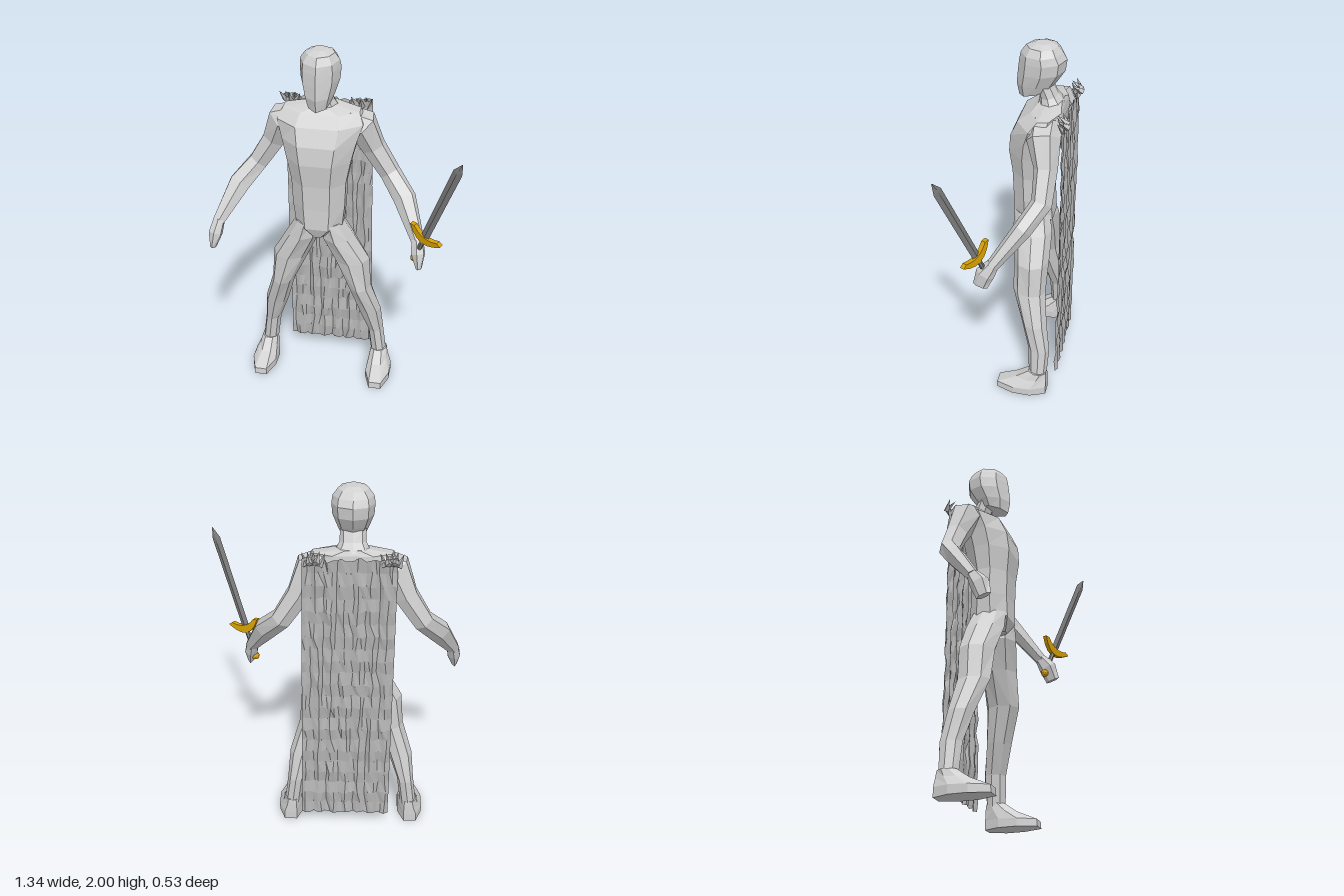
import * as THREE from 'three';

const V = (x, y, z) => new THREE.Vector3(x, y, z);
const CX = -0.09; // body centre line

const mats = {
  body: new THREE.MeshStandardMaterial({ color: 0xd0d0d0 }),
  cape: new THREE.MeshStandardMaterial({ color: 0xb4b4b4, side: THREE.DoubleSide }),
  steel: new THREE.MeshStandardMaterial({ color: 0x7c7c7c }),
  gold: new THREE.MeshStandardMaterial({ color: 0xd8a000 }),
};

// Faceted mesh with one normal per face
function facet(name, geo, mat) {
  const g = geo.index ? geo.toNonIndexed() : geo;
  g.computeVertexNormals();
  const m = new THREE.Mesh(g, mat);
  m.name = name;
  return m;
}

// Closed skin over rings of points, always wound outwards
function loft(rings) {
  const n = rings[0].length, tris = [];
  for (let i = 0; i < rings.length - 1; i++) {
    for (let j = 0; j < n; j++) {
      const k = (j + 1) % n, a = rings[i], b = rings[i + 1];
      tris.push([a[j], a[k], b[k]], [a[j], b[k], b[j]]);
    }
  }
  const cap = (ring, flip) => {
    const c = ring.reduce((s, p) => s.add(p), V(0, 0, 0)).divideScalar(n);
    ring.forEach((p, j) => {
      const q = ring[(j + 1) % n];
      tris.push(flip ? [c, q, p] : [c, p, q]);
    });
  };
  cap(rings[0], true);
  cap(rings[rings.length - 1], false);
  const vol = tris.reduce((s, [a, b, c]) => s + a.dot(V(0, 0, 0).crossVectors(b, c)), 0);
  const pts = tris.flatMap(([a, b, c]) => (vol < 0 ? [a, c, b] : [a, b, c]));
  return new THREE.BufferGeometry().setFromPoints(pts);
}

// Eight-sided cross-sections: ridged or flat at the front
const half = {
  ridge: [[0, 1], [0.72, 0.62], [1, -0.1], [0.7, -0.75], [0, -1]],
  flat: [[0.5, 1], [1, 0.3], [1, -0.4], [0.5, -1]],
};
function section(kind) {
  const h = half[kind];
  const mirror = h.filter(p => p[0] > 0).reverse().map(([x, z]) => [-x, z]);
  return [...h, ...mirror];
}

// Level ring: x range, front and back z, with optional slope from front to back
function ring(kind, x0, x1, yF, yB, zF, zB) {
  return section(kind).map(([a, b]) => V(
    (x0 + x1) / 2 + a * (x1 - x0) / 2,
    (yF + yB) / 2 + b * (yF - yB) / 2,
    (zF + zB) / 2 + b * (zF - zB) / 2));
}

// Skin along a path of [x, y, z, radius across, radius in depth]
function limb(path) {
  const c = path.map(p => V(p[0], p[1], p[2]));
  return loft(path.map((p, i) => {
    const t = c[Math.min(i + 1, c.length - 1)].clone().sub(c[Math.max(i - 1, 0)]).normalize();
    const u = V(0, 0, 0).crossVectors(t, V(0, 0, 1)).normalize();
    const v = V(0, 0, 0).crossVectors(t, u);
    return [...Array(6)].map((_, j) => {
      const a = (j + 0.5) * Math.PI / 3;
      return c[i].clone().addScaledVector(u, 1.1 * p[3] * Math.cos(a)).addScaledVector(v, 1.1 * p[4] * Math.sin(a));
    });
  }));
}

function buildBody(g) {
  // [half width, y front, y back, z front, z back]
  const stack = (kind, rows) => loft(rows.map(([w, yF, yB, zF, zB]) => ring(kind, CX - w, CX + w, yF, yB, zF, zB)));
  g.add(facet('torso', stack('flat', [
    [0.03, 0.965, 0.95, 0.02, -0.13], [0.125, 1.03, 1.0, 0.048, -0.165], [0.14, 1.15, 1.15, 0.045, -0.155],
    [0.145, 1.29, 1.29, 0.05, -0.155], [0.17, 1.42, 1.42, 0.065, -0.18], [0.195, 1.52, 1.52, 0.055, -0.2],
    [0.225, 1.61, 1.62, 0.015, -0.21], [0.2, 1.66, 1.675, -0.05, -0.205], [0.075, 1.685, 1.7, -0.075, -0.195],
  ]), mats.body));
  g.add(facet('neck', stack('ridge', [
    [0.09, 1.66, 1.69, -0.07, -0.205], [0.065, 1.71, 1.73, -0.075, -0.17], [0.065, 1.79, 1.79, -0.05, -0.14],
  ]), mats.body));
  g.add(facet('head', stack('ridge', [
    [0.062, 1.705, 1.76, 0.03, -0.135], [0.082, 1.77, 1.8, 0.043, -0.165], [0.102, 1.84, 1.86, 0.037, -0.203],
    [0.106, 1.9, 1.92, 0.03, -0.21], [0.1, 1.94, 1.955, 0.022, -0.19], [0.075, 1.98, 1.985, -0.005, -0.165],
    [0.035, 1.998, 2.0, -0.05, -0.13],
  ]), mats.body));

  for (const s of [1, -1]) {
    const side = s > 0 ? 'left' : 'right';
    // [inner, outer, y, z front, z back], measured from the centre line
    const leg = [
      [0.01, 0.125, 1.05, 0.042, -0.15], [0.005, 0.185, 0.95, 0.042, -0.172], [0.07, 0.27, 0.8, 0.02, -0.172],
      [0.155, 0.283, 0.62, 0.015, -0.165], [0.205, 0.338, 0.44, -0.045, -0.185], [0.262, 0.352, 0.28, -0.09, -0.21],
      [0.285, 0.375, 0.1, -0.1, -0.2],
    ];
    g.add(facet(side + 'Leg', loft(leg.map(([a, b, y, zF, zB]) =>
      ring('ridge', CX + s * a, CX + s * b, y, y, zF, zB))), mats.body));
    const foot = [
      [0.272, 0.41, 0, 0, 0.08, -0.205], [0.272, 0.41, 0.038, 0.05, 0.077, -0.205],
      [0.28, 0.385, 0.085, 0.1, -0.03, -0.203], [0.287, 0.375, 0.135, 0.135, -0.1, -0.2],
    ];
    g.add(facet(side + 'Foot', loft(foot.map(([a, b, yF, yB, zF, zB]) =>
      ring('flat', CX + s * a, CX + s * b, yF, yB, zF, zB))), mats.body));
    const arm = [
      [0.13, 1.61, -0.13, 0.065, 0.08], [0.21, 1.585, -0.14, 0.078, 0.078], [0.268, 1.45, -0.165, 0.06, 0.055],
      [0.36, 1.305, -0.165, 0.052, 0.05], [0.45, 1.2, -0.09, 0.058, 0.045], [0.545, 1.02, 0.045, 0.032, 0.03],
    ];
    const hand = [
      [0.54, 1.03, 0.04, 0.03, 0.03], [0.552, 0.97, 0.08, 0.035, 0.045], [0.562, 0.895, 0.105, 0.014, 0.035],
    ];
    const place = p => [CX + s * p[0], ...p.slice(1)];
    g.add(facet(side + 'Arm', limb(arm.map(place)), mats.body));
    g.add(facet(side + 'Hand', limb(hand.map(place)), mats.body));
  }
}

// Hanging cloth with vertical folds and small random creases
function buildCape(g) {
  let seed = 7;
  const rnd = () => ((seed = (seed * 16807) % 2147483647) / 2147483647) - 0.5;
  const cols = 22, rows = 22;
  const geo = new THREE.PlaneGeometry(1, 1, cols, rows);
  const p = geo.attributes.position;
  for (let i = 0; i < p.count; i++) {
    const u = p.getX(i) + 0.5, v = 0.5 - p.getY(i);
    const c = Math.round(u * cols), r = Math.round(v * rows);
    const edge = c === 0 || c === cols ? 0 : 1;
    const x = -0.31 + u * (0.465 + 0.02 * v) + 0.008 * v + edge * rnd() * 0.012;
    const y = 1.675 - v * 1.585 + (r === 0 ? rnd() * 0.03 : edge * rnd() * 0.015);
    const z = -0.24 + 0.008 * Math.sin(c * 1.9 + v * 3) + (r % 2 ? 0.003 : -0.003) + rnd() * 0.01;
    p.setXYZ(i, x, y, z);
  }
  g.add(facet('cape', geo, mats.cape));
  // Gathered cloth on each shoulder
  for (const x0 of [-0.28, 0.1]) {
    for (let i = 0; i < 5; i++) {
      const fold = facet('capeGather', new THREE.ConeGeometry(0.018, 0.07, 4), mats.cape);
      fold.position.set(x0 + (i - 2) * 0.022, 1.67 + (i % 2) * 0.008, -0.235 + (i % 3) * 0.008);
      fold.rotation.set(0.5 + (i % 2) * 0.5, 0, (i - 2) * -0.2);
      g.add(fold);
    }
  }
}

// Sword along its own y axis, guard at the origin
function buildSword() {
  const sword = new THREE.Group();
  sword.name = 'sword';
  const row = (y, w, t, x = 0) => [V(x + w, y, 0), V(x, y, t), V(x - w, y, 0), V(x, y, -t)];
  sword.add(facet('blade', loft([
    row(0, 0.023, 0.008), row(0.53, 0.026, 0.008), row(0.59, 0.002, 0.002, 0.004),
  ]), mats.steel));

  const grip = facet('grip', new THREE.CylinderGeometry(0.013, 0.013, 0.15, 6), mats.steel);
  grip.position.y = -0.07;
  sword.add(grip);

  const crescent = new THREE.Shape();
  crescent.moveTo(-0.1, 0.055);
  crescent.quadraticCurveTo(0, -0.07, 0.1, 0.055);
  crescent.lineTo(0.075, 0.062);
  crescent.quadraticCurveTo(0, 0.008, -0.075, 0.062);
  const guardGeo = new THREE.ExtrudeGeometry(crescent, { depth: 0.026, bevelEnabled: false, curveSegments: 6 });
  guardGeo.translate(0, 0, -0.013);
  sword.add(facet('guard', guardGeo, mats.gold));

  const pommel = facet('pommel', new THREE.IcosahedronGeometry(0.022, 1), mats.gold);
  pommel.position.y = -0.147;
  sword.add(pommel);

  const y = V(0.215, 0.675, 0.19).normalize();
  const z = V(0, 0, 0).crossVectors(V(0.16, -0.08, 0.08), y).normalize();
  const x = V(0, 0, 0).crossVectors(y, z);
  sword.quaternion.setFromRotationMatrix(new THREE.Matrix4().makeBasis(x, y, z));
  sword.position.set(0.485, 1.07, 0.105);
  return sword;
}

export function createModel() {
  const g = new THREE.Group();
  g.name = 'cloakedSwordsman';
  buildBody(g);
  buildCape(g);
  g.add(buildSword());
  return g;
}
